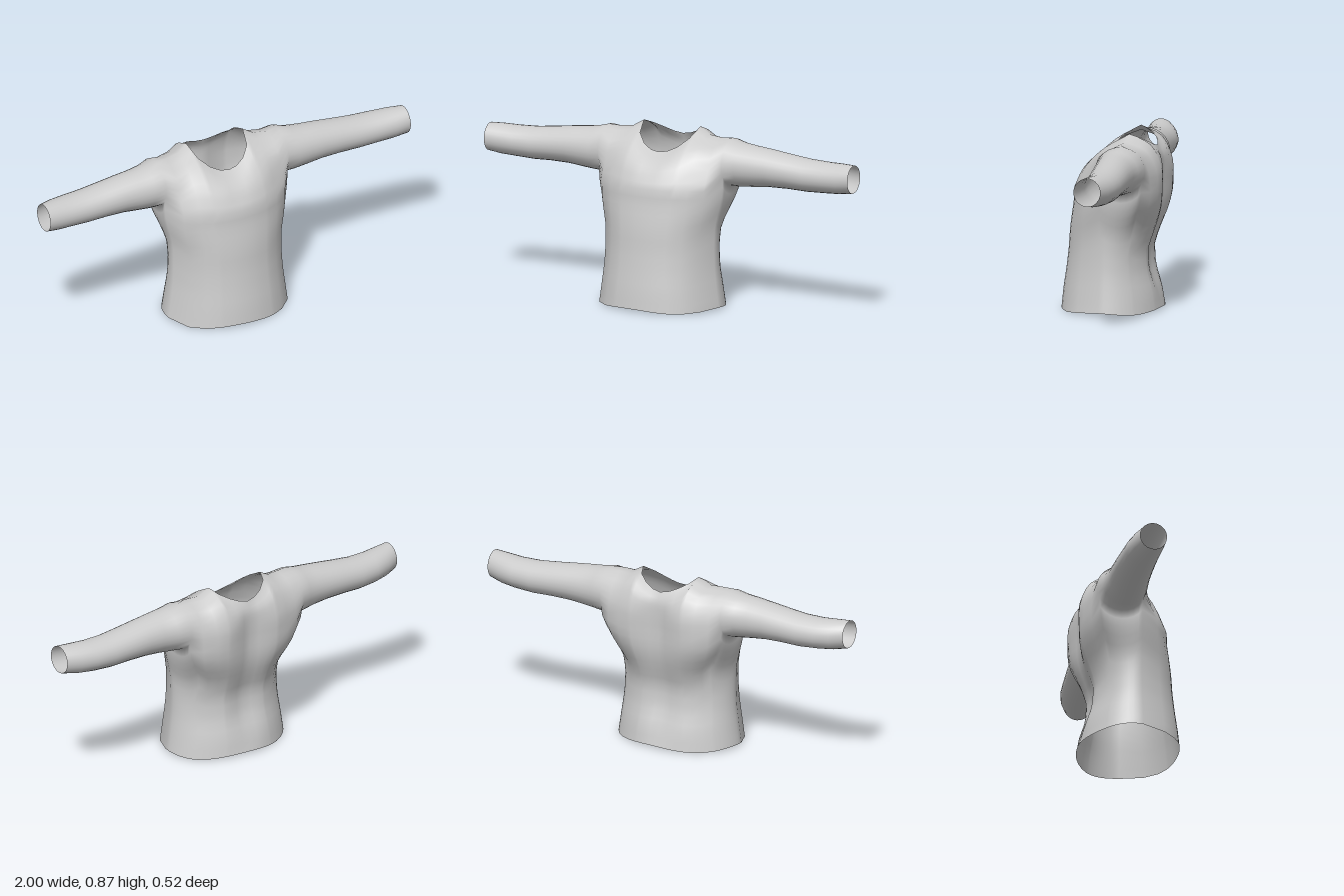
import * as THREE from 'three';
import { mergeVertices } from 'three/addons/utils/BufferGeometryUtils.js';

const CX = -0.025; // the body sits slightly off the sleeve centre
const M = 9;       // segments from chest line to shoulder top
const ARC = 8;     // segments under the arm

// Body sections by distance from the centre line; points are [z, y].
// front runs chest to neckline or shoulder, back runs from there down.
const body = [
  { d: 0, front: [[.19, .6], [.145, .68], [.1, .725], [.045, .758]], back: [[-.208, .8], [-.224, .75], [-.226, .69], [-.222, .6]] },
  { d: .045, front: [[.188, .6], [.145, .683], [.095, .732], [.038, .764]], back: [[-.202, .808], [-.232, .757], [-.238, .695], [-.236, .6]] },
  { d: .09, front: [[.183, .6], [.14, .69], [.08, .75], [.02, .785]], back: [[-.185, .827], [-.236, .77], [-.252, .7], [-.25, .6]] },
  { d: .135, front: [[.172, .6], [.125, .7], [.05, .78], [-.02, .825]], back: [[-.15, .852], [-.225, .79], [-.257, .7], [-.258, .6]] },
  { d: .155, front: [[.165, .6], [.115, .71], [.025, .8], [-.1, .872]], back: [[-.1, .872], [-.205, .822], [-.256, .71], [-.257, .6]] },
  { d: .21, front: [[.143, .6], [.09, .715], [.022, .79], [-.09, .84]], back: [[-.09, .84], [-.19, .8], [-.242, .71], [-.25, .6]] },
  { d: .28, front: [[.1, .6], [.058, .695], [.028, .775], [-.075, .836]], back: [[-.075, .836], [-.168, .8], [-.217, .71], [-.226, .61]] },
];

// Sleeve loops: distance, bottom, top, back z, front z.
const sleeve = [
  [.34, .602, .834, -.21, .034], [.4, .605, .82, -.19, .03], [.47, .612, .812, -.178, .024],
  [.55, .62, .803, -.175, .018], [.65, .622, .79, -.172, .014], [.75, .619, .779, -.168, .01],
  [.85, .624, .776, -.16, .012], [.93, .63, .779, -.142, .016], [1, .642, .78, -.115, .017],
];

// Torso outline: y, half width, front z, back z.
const torso = [
  [0, .325, .258, -.243], [.1, .311, .248, -.228], [.2, .299, .233, -.198], [.3, .295, .221, -.192],
  [.4, .298, .215, -.224], [.5, .312, .213, -.245], [.6, .335, .192, -.258], [.75, .345, .15, -.258],
];

function outlineAt(y) {
  let i = 0;
  while (i < torso.length - 2 && torso[i + 1][0] < y) i++;
  const a = torso[i], b = torso[i + 1];
  const t = THREE.MathUtils.clamp((y - a[0]) / (b[0] - a[0]), 0, 1);
  return a.map((v, k) => v + (b[k] - v) * t);
}

function bodyCurve(points, x) {
  return new THREE.CatmullRomCurve3(points.map(([z, y]) => new THREE.Vector3(x, y, z))).getPoints(M);
}

function loopArc([d, y0, y1, z0, z1], side, from, to, n) {
  const x = side * d + CX * (1 - d) / (1 - sleeve[0][0]);
  return Array.from({ length: n + 1 }, (_, i) => {
    const a = THREE.MathUtils.degToRad(from + (to - from) * i / n);
    return new THREE.Vector3(x, (y0 + y1) / 2 - (y1 - y0) / 2 * Math.cos(a),
      (z0 + z1) / 2 + (z1 - z0) / 2 * Math.sin(a));
  });
}

// One torso column, from the hem up to a point p on the chest or armpit line.
function torsoColumn(p, rows = 14) {
  const column = [];
  const top = outlineAt(p.y);
  const depth = p.z > 0 ? top[2] : -top[3];
  const angle = Math.atan2(p.z / depth, (p.x - CX) / top[1]);
  const c = Math.cos(angle), s = Math.sin(angle);
  const hem = .007 + .006 * Math.sin(angle * 4 + 1);
  for (let k = rows; k >= 0; k--) {
    const t = k / rows;
    const y = THREE.MathUtils.lerp(p.y, hem, t);
    const [, half, front, back] = outlineAt(y);
    const x = CX + half * c;
    let z = s > 0 ? front * s : -back * s;
    // hollow along the spine
    if (s < 0) z += .028 * Math.exp(-Math.pow((x - CX) / .07, 2)) * Math.min(1, y / .2);
    const w = THREE.MathUtils.smoothstep(t, 0, .4);
    column.push(new THREE.Vector3(p.x + (x - p.x) * w, y, p.z + (z - p.z) * w));
  }
  return column;
}

export function createModel() {
  const positions = [];
  const patch = (rows) => {
    for (let i = 0; i < rows.length - 1; i++) {
      for (let j = 0; j < rows[i].length - 1; j++) {
        const a = rows[i][j], b = rows[i + 1][j], c = rows[i + 1][j + 1], d = rows[i][j + 1];
        for (const v of [a, b, c, a, c, d]) positions.push(v.x, v.y, v.z);
      }
    }
  };

  // Sections ordered from one cuff to the other
  const sections = (key, from, to) => {
    const arm = (side) => sleeve.map((l) => loopArc(l, side, from, to, M));
    const half = (side) => body.map((b) => bodyCurve(b[key], CX + side * b.d));
    return [...arm(-1).reverse(), ...half(-1).reverse(), ...half(1).slice(1), ...arm(1)];
  };
  const front = sections('front', 60, 180);
  const back = sections('back', 180, 300);
  patch(front);
  patch(back);

  // Undersides of the sleeves
  const under = (side) => sleeve.map((l) => loopArc(l, side, -60, 60, ARC));
  const rightUnder = under(-1), leftUnder = under(1);
  patch([...rightUnder].reverse());
  patch(leftUnder);

  // Lower torso hangs from the chest line and both armpits
  const n = sleeve.length;
  const ring = [
    ...front.slice(n, -n).map((r) => r[0]),
    ...[...leftUnder[0]].reverse(),
    ...back.slice(n, -n).map((r) => r[M]).reverse(),
    ...rightUnder[0],
  ];
  ring.push(ring[0]);
  patch(ring.map((p) => torsoColumn(p)));

  // Weld the patches into one smooth cloth surface
  let geometry = new THREE.BufferGeometry();
  geometry.setAttribute('position', new THREE.Float32BufferAttribute(positions, 3));
  geometry = mergeVertices(geometry, 1e-4);
  geometry.computeVertexNormals();

  const shirt = new THREE.Mesh(geometry, new THREE.MeshStandardMaterial({ color: 0xcccccc, side: THREE.DoubleSide }));
  shirt.name = 'longSleeveShirt';
  const group = new THREE.Group();
  group.name = 'shirt';
  group.add(shirt);
  return group;
}
